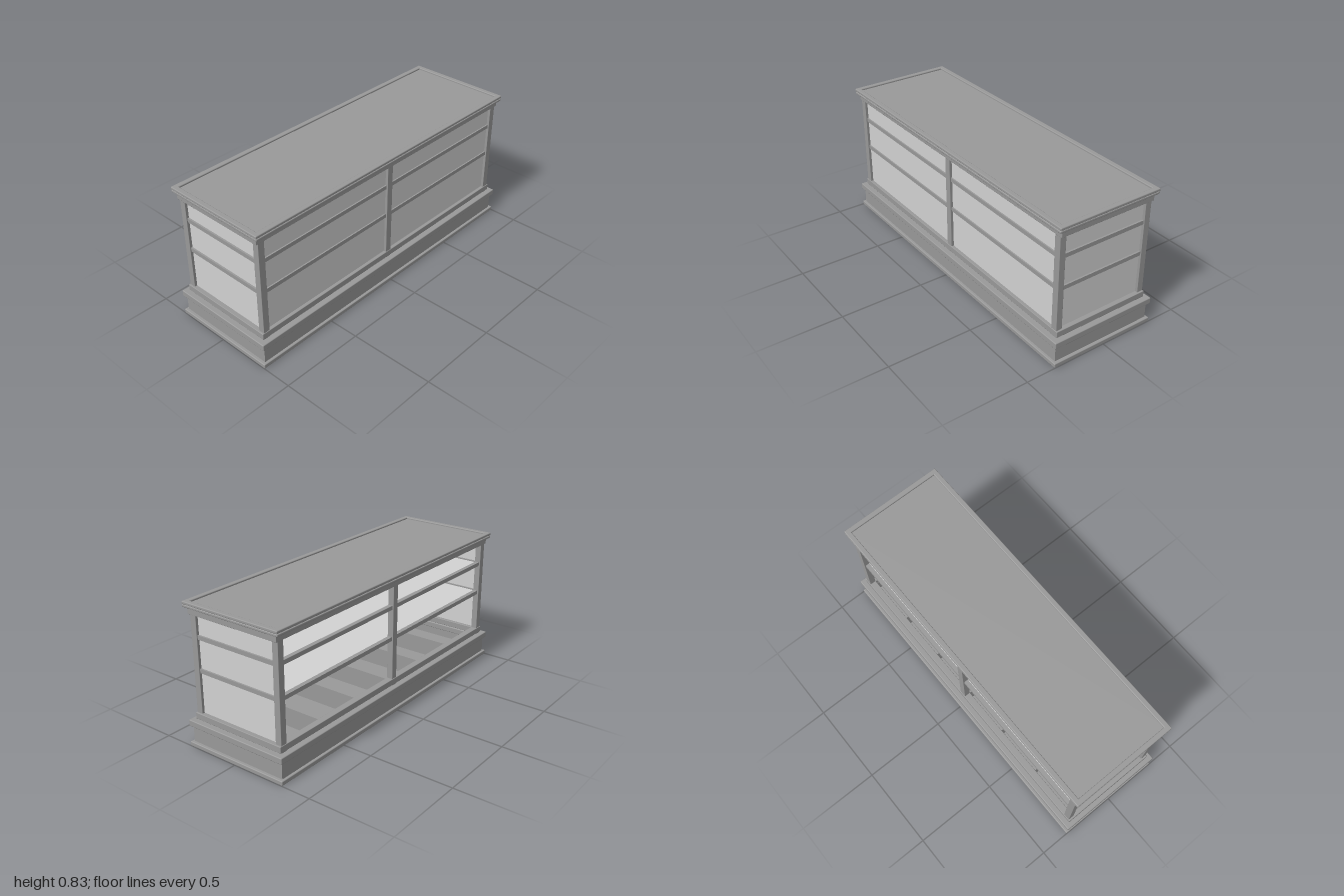
import * as THREE from 'three';
import { RoundedBoxGeometry } from 'three/addons/geometries/RoundedBoxGeometry.js';

const wood = new THREE.MeshStandardMaterial({ color: 0x999999 });
wood.name = 'grey wood';
const glass = new THREE.MeshStandardMaterial({ color: 0xd2d2d2 });
glass.name = 'pale glass';

export function createModel() {
  const model = new THREE.Group();
  model.name = 'displayCounter';

  // box given by its minimum and maximum on each axis; r rounds the edges
  function box(parent, name, mat, [x0, x1], [y0, y1], [z0, z1], r = 0) {
    const size = [x1 - x0, y1 - y0, z1 - z0];
    const geo = r ? new RoundedBoxGeometry(...size, 2, r) : new THREE.BoxGeometry(...size);
    const mesh = new THREE.Mesh(geo, mat);
    mesh.name = name;
    mesh.position.set((x0 + x1) / 2, (y0 + y1) / 2, (z0 + z1) / 2);
    parent.add(mesh);
    return mesh;
  }

  // rectangular ring of four bars, X and Z being outer half sizes
  function frame(name, X, Z, y, wx, wz, r = 0) {
    const group = new THREE.Group();
    group.name = name;
    for (const s of [-1, 1]) {
      const zs = s > 0 ? [Z - wz, Z] : [-Z, wz - Z];
      const xs = s > 0 ? [X - wx, X] : [-X, wx - X];
      box(group, 'longBar', wood, [-X, X], y, zs, r);
      box(group, 'endBar', wood, xs, y, [-Z + wz / 2, Z - wz / 2], r);
    }
    model.add(group);
  }

  // plinth: foot moulding, hollow body, well floor and upper moulding
  box(model, 'footMoulding', wood, [-1, 1], [0, 0.026], [-0.327, 0.327], 0.005);
  frame('plinthBody', 0.982, 0.312, [0.02, 0.125], 0.06, 0.054);
  box(model, 'wellFloor', wood, [-0.95, 0.95], [0.02, 0.075], [-0.28, 0.28]);
  frame('plinthMoulding', 1, 0.327, [0.12, 0.157], 0.08, 0.069, 0.005);

  // lower and upper rails of the case
  frame('lowerRail', 0.972, 0.298, [0.161, 0.198], 0.052, 0.04, 0.003);
  frame('upperRail', 0.975, 0.298, [0.757, 0.794], 0.055, 0.04, 0.002);

  // dividers between the storage wells
  for (let i = -2; i <= 2; i++) {
    const w = i === 0 ? 0.018 : 0.009;
    const x = i * 0.307;
    box(model, 'wellDivider', wood, [x - w, x + w], [0.07, 0.186], [-0.265, 0.265]);
  }

  // corner posts and the two middle posts
  for (const sz of [-1, 1]) {
    const z = sz > 0 ? [0.258, 0.295] : [-0.295, -0.258];
    for (const x of [[-0.962, -0.922], [0.922, 0.962]]) {
      box(model, 'cornerPost', wood, x, [0.15, 0.77], z, 0.002);
    }
    box(model, 'middlePost', wood, [-0.02, 0.02], [0.15, 0.77], z, 0.002);
  }

  // glass on the front and both ends; the back is open
  for (const s of [-1, 1]) {
    const x = s > 0 ? [0.018, 0.925] : [-0.925, -0.018];
    box(model, 'frontGlass', glass, x, [0.195, 0.76], [0.273, 0.279]);
    const e = s > 0 ? [0.94, 0.946] : [-0.946, -0.94];
    box(model, 'endGlass', glass, e, [0.195, 0.76], [-0.26, 0.26]);
  }

  // two glass shelves, each edged by wooden rails
  for (const y of [0.632, 0.444]) {
    const ys = [y - 0.012, y + 0.012];
    box(model, 'shelfGlass', glass, [-0.93, 0.93], [y - 0.004, y + 0.006], [-0.262, 0.272]);
    for (const s of [-1, 1]) {
      const half = s > 0 ? [0.018, 0.925] : [-0.925, -0.018];
      box(model, 'frontShelfRail', wood, half, ys, [0.262, 0.287]);
      box(model, 'backShelfRail', wood, half, ys, [-0.287, -0.262]);
      const e = s > 0 ? [0.928, 0.956] : [-0.956, -0.928];
      box(model, 'endShelfRail', wood, e, ys, [-0.267, 0.267]);
    }
    // small supports on the middle post
    box(model, 'shelfSupport', wood, [-0.012, 0.012], [y - 0.03, y - 0.004], [-0.26, -0.235]);
  }

  // stepped cornice with a sunken top panel
  box(model, 'corniceLower', wood, [-0.99, 0.99], [0.794, 0.809], [-0.32, 0.32], 0.005);
  box(model, 'topPanel', wood, [-0.97, 0.97], [0.8, 0.817], [-0.3, 0.3]);
  frame('corniceUpper', 0.992, 0.32, [0.81, 0.827], 0.03, 0.03, 0.005);

  return model;
}
